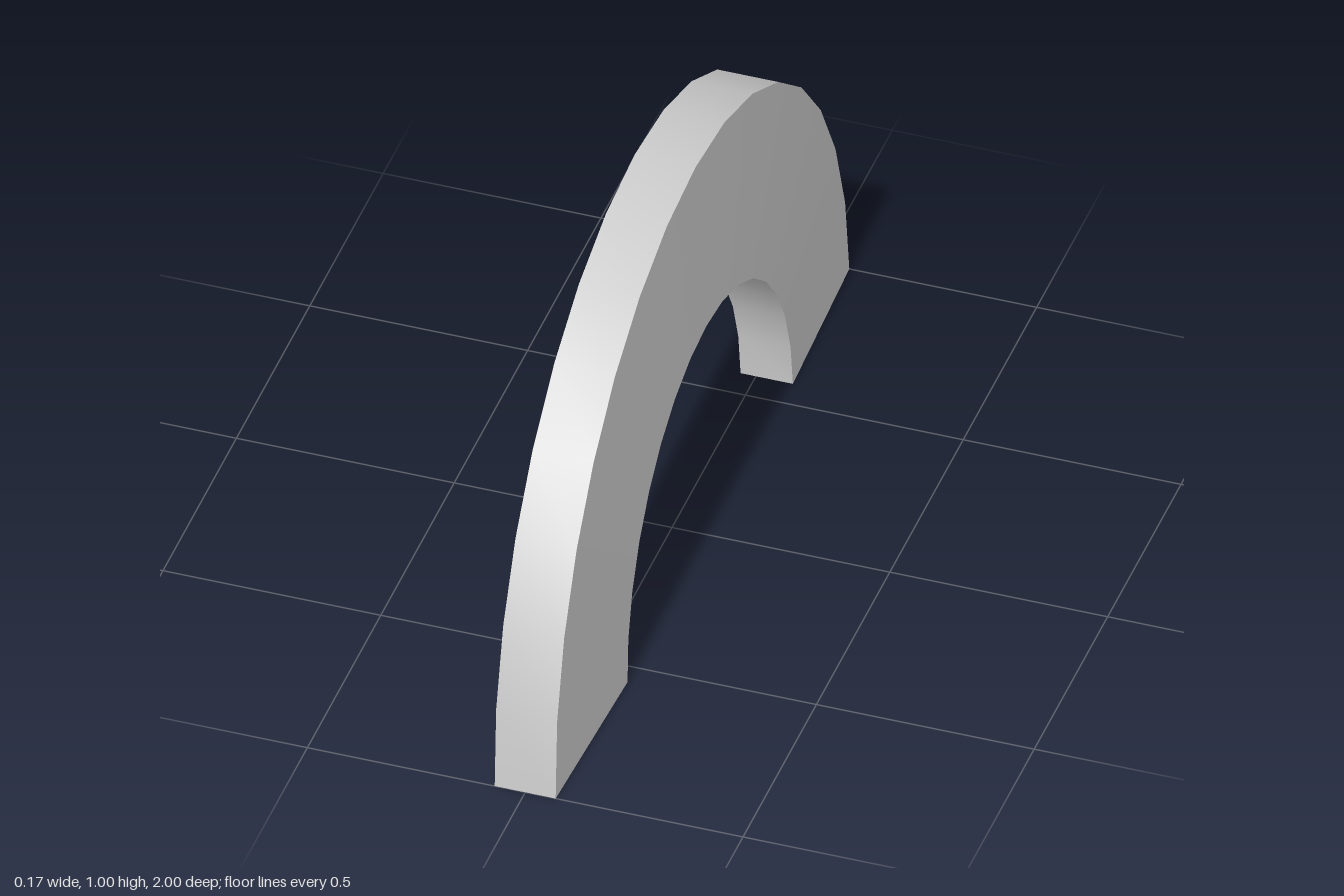
import * as THREE from 'three';

const SEGMENTS = 16;

// Half-circle edge in the YZ plane, leaning slightly toward -x as it rises
function arch(radius, x, height = radius, zShift = 0) {
  return Array.from({ length: SEGMENTS + 1 }, (_, i) => {
    const t = (i / SEGMENTS) * Math.PI;
    const y = height * Math.sin(t);
    return [x - 0.016 * y, y, radius * Math.cos(t) + zShift];
  });
}

// Smooth sheet spanning two edges
function sheet(name, a, b, material) {
  const index = [];
  const n = a.length;
  for (let i = 0; i < n - 1; i++) {
    index.push(i, n + i, i + 1, i + 1, n + i, n + i + 1);
  }
  const geometry = new THREE.BufferGeometry();
  geometry.setAttribute('position', new THREE.Float32BufferAttribute([...a, ...b].flat(), 3));
  geometry.setIndex(index);
  geometry.computeVertexNormals();
  const mesh = new THREE.Mesh(geometry, material);
  mesh.name = name;
  return mesh;
}

export function createModel() {
  const group = new THREE.Group();
  group.name = 'archCover';
  const material = new THREE.MeshStandardMaterial({ color: 0xcccccc, side: THREE.DoubleSide });

  const outerFree = arch(1, -0.07);
  const outerFace = arch(1, 0.07);
  const innerFace = arch(0.563, 0.085, 0.564, -0.008);
  const innerFree = arch(0.563, -0.035, 0.558, -0.008);

  // Open-backed shell: outer rim, side face and inner rim
  group.add(sheet('outerRim', outerFree, outerFace, material));
  group.add(sheet('sideFace', outerFace, innerFace, material));
  group.add(sheet('innerRim', innerFace, innerFree, material));
  return group;
}
